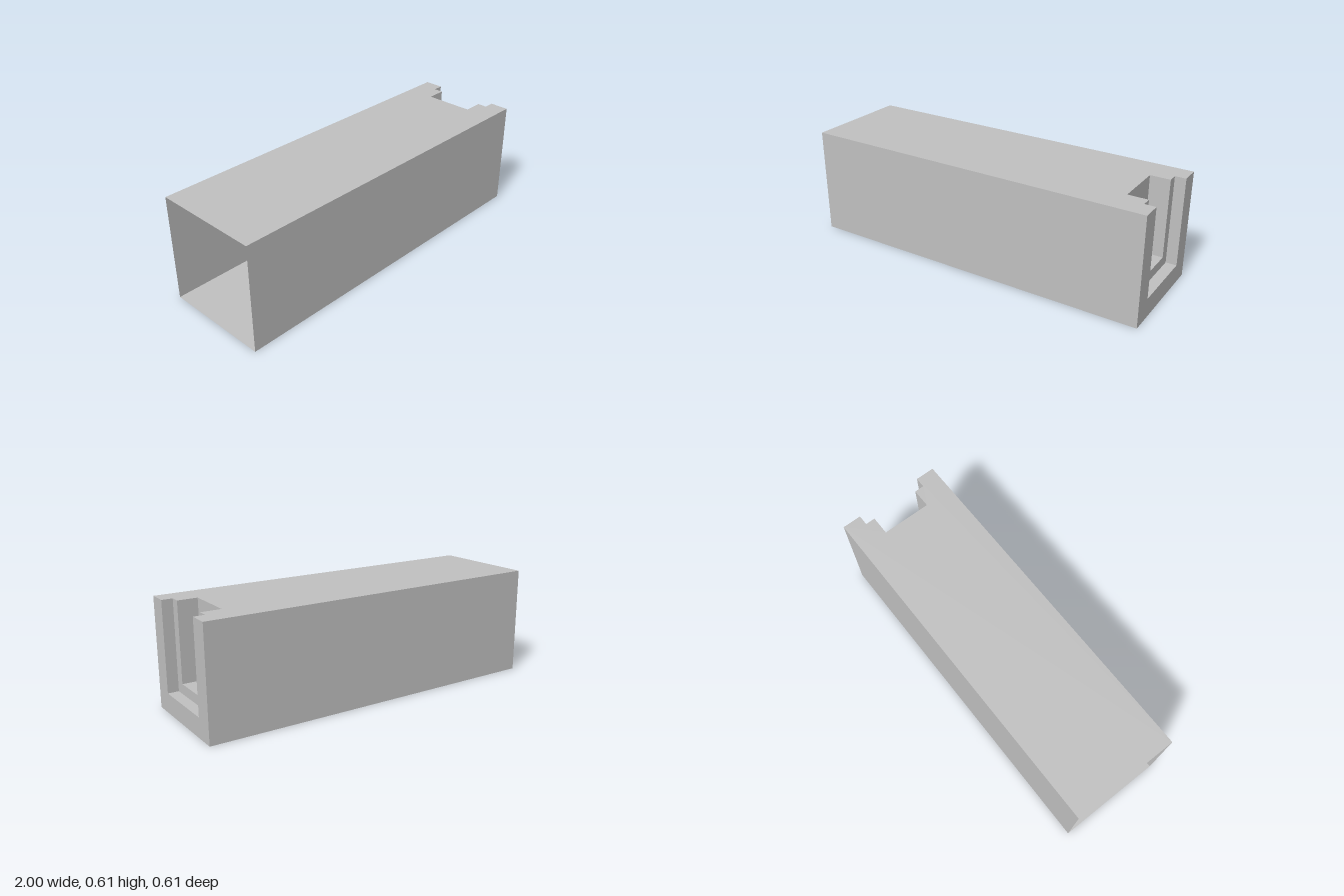
import * as THREE from 'three';

const H = 0.605, HZ = 0.3025; // height and half depth
// Stepped recess in the +x end, open at the top: x range, half width, floor height
const STEPS = [
  { x0: 0.94, x1: 1, hz: 0.194, y: 0.11 },
  { x0: 0.83, x1: 0.94, hz: 0.139, y: 0.165 },
];

export function createModel() {
  const group = new THREE.Group();
  const grey = new THREE.MeshStandardMaterial({ color: 0xc0c0c0, side: THREE.DoubleSide });

  const add = (name, geometry) => {
    const mesh = new THREE.Mesh(geometry, grey);
    mesh.name = name;
    group.add(mesh);
  };
  const polygon = (points) =>
    new THREE.ShapeGeometry(new THREE.Shape(points.map(([a, b]) => new THREE.Vector2(a, b))));
  const rect = (a0, b0, a1, b1) => polygon([[a0, b0], [a1, b0], [a1, b1], [a0, b1]]);

  // Sheets drawn flat, then turned to face +z, -z, +y, -y or +x
  const facingFront = (g, z) => g.translate(0, 0, z);
  const facingBack = (g, z) => g.rotateY(Math.PI).translate(0, 0, z);
  const facingUp = (g, y) => g.rotateX(-Math.PI / 2).translate(0, y, 0);
  const facingDown = (g, y) => g.rotateX(Math.PI / 2).translate(0, y, 0);
  const facingRight = (g, x) => g.rotateY(Math.PI / 2).translate(x, 0, 0);

  // Long hollow body, left open at -x
  add('frontWall', facingFront(rect(-1, 0, 1, H), HZ));
  add('backWall', facingBack(rect(-1, 0, 1, H), -HZ));
  add('bottom', facingDown(rect(-1, -HZ, 1, HZ), 0));

  // Top sheet with the stepped notch cut from its end
  const [outer, inner] = STEPS;
  add('top', facingUp(polygon([
    [-1, -HZ], [1, -HZ], [1, -outer.hz], [outer.x0, -outer.hz],
    [outer.x0, -inner.hz], [inner.x0, -inner.hz],
    [inner.x0, inner.hz], [outer.x0, inner.hz],
    [outer.x0, outer.hz], [1, outer.hz], [1, HZ], [-1, HZ],
  ]), H));

  // Each step: U-shaped rim, two cheeks and a floor
  let rim = { hz: HZ, y: 0 };
  for (const s of STEPS) {
    add('recessRim', facingRight(polygon([
      [-rim.hz, rim.y], [rim.hz, rim.y], [rim.hz, H], [s.hz, H],
      [s.hz, s.y], [-s.hz, s.y], [-s.hz, H], [-rim.hz, H],
    ]), s.x1));
    add('recessBackCheek', facingFront(rect(s.x0, s.y, s.x1, H), -s.hz));
    add('recessFrontCheek', facingBack(rect(-s.x1, s.y, -s.x0, H), s.hz));
    add('recessFloor', facingUp(rect(s.x0, -s.hz, s.x1, s.hz), s.y));
    rim = s;
  }
  add('recessEnd', facingRight(rect(-rim.hz, rim.y, rim.hz, H), rim.x0));

  return group;
}
